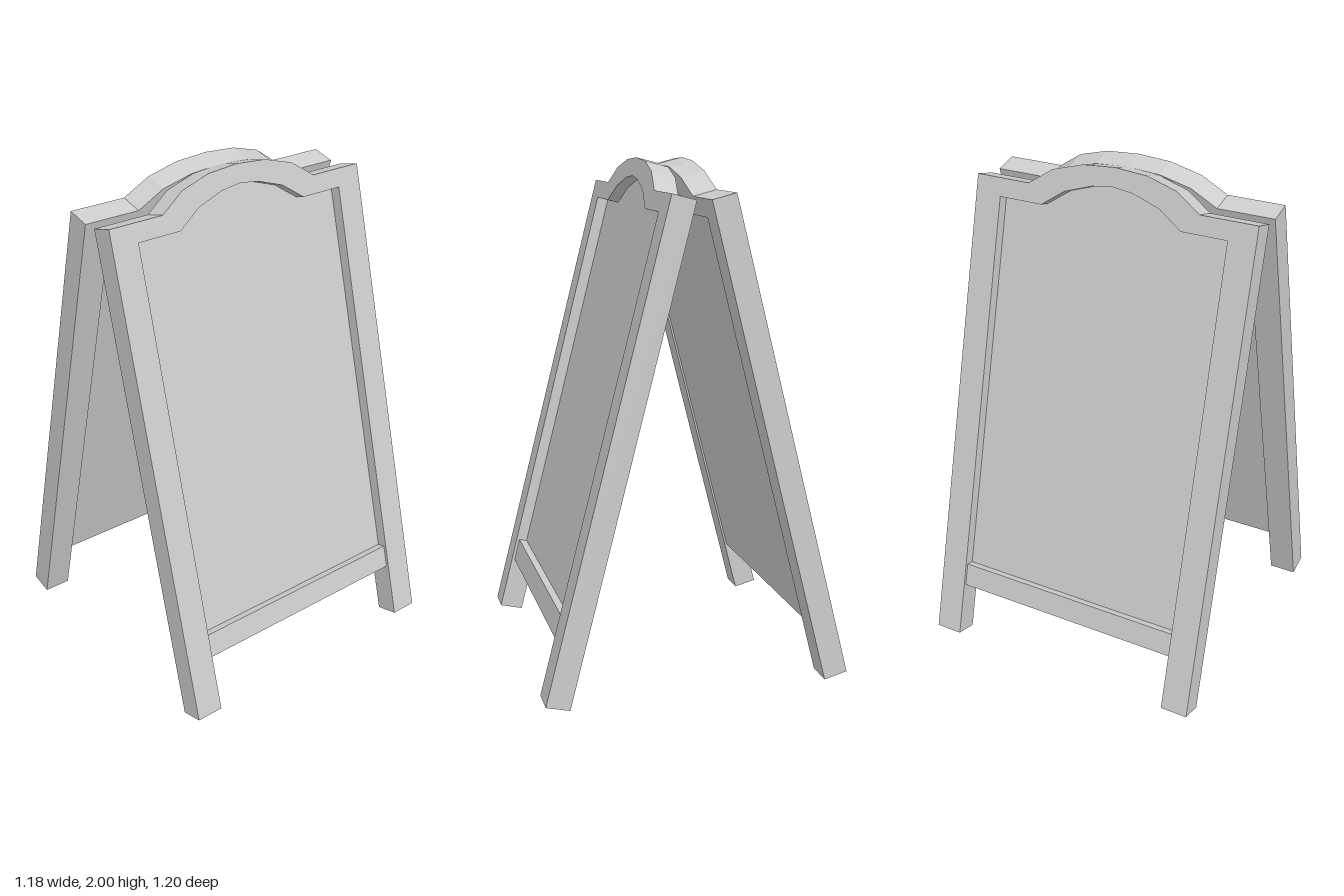
import * as THREE from 'three';

const TILT = 0.2519, DEPTH = 0.095, FOOT_Z = 0.508;
const HALF = 0.59, OPEN = 0.48;

// Right halves of the arched outlines, measured along the sloping leaf
const OUTER = [[HALF, 1.927], [0.36, 1.927], [0.26, 1.994], [0.135, 2.03], [0, 2.04]];
const INNER = [[OPEN, 1.855], [0.295, 1.855], [0.2, 1.92], [0.085, 1.958], [0, 1.968]];

// Full arch from +x to -x
const arch = (half) => [...half, ...half.slice(0, -1).reverse().map(([x, y]) => [-x, y])];

function slab(points, z0, z1, name, material) {
  const shape = new THREE.Shape(points.map(([x, y]) => new THREE.Vector2(x, y)));
  const geometry = new THREE.ExtrudeGeometry(shape, { depth: z1 - z0, bevelEnabled: false });
  geometry.translate(0, 0, z0);
  const mesh = new THREE.Mesh(geometry, material);
  mesh.name = name;
  return mesh;
}

// One sloping leaf: legs and arched top in one piece, recessed board and bottom rail
function createLeaf(material) {
  const leaf = new THREE.Group();
  const frame = [[HALF, 0], ...arch(OUTER), [-HALF, 0], [-OPEN, 0], ...arch(INNER).reverse(), [OPEN, 0]];
  const board = [[OPEN, 0.219], ...arch(INNER), [-OPEN, 0.219]];
  const rail = [[-OPEN, 0.219], [OPEN, 0.219], [OPEN, 0.313], [-OPEN, 0.313]];
  leaf.add(
    slab(frame, 0, DEPTH, 'archedFrame', material),
    slab(board, 0.008, 0.05, 'board', material),
    slab(rail, 0.05, 0.083, 'bottomRail', material)
  );
  leaf.position.z = FOOT_Z;
  leaf.rotation.x = -TILT;
  return leaf;
}

export function createModel() {
  const model = new THREE.Group();
  model.name = 'sandwichBoard';
  const material = new THREE.MeshStandardMaterial({ color: 0xcccccc, flatShading: true });

  // Front leaf and its copy turned to the back
  ['frontLeaf', 'backLeaf'].forEach((name, i) => {
    const side = new THREE.Group();
    side.name = name;
    side.add(createLeaf(material));
    side.rotation.y = i * Math.PI;
    model.add(side);
  });
  return model;
}
